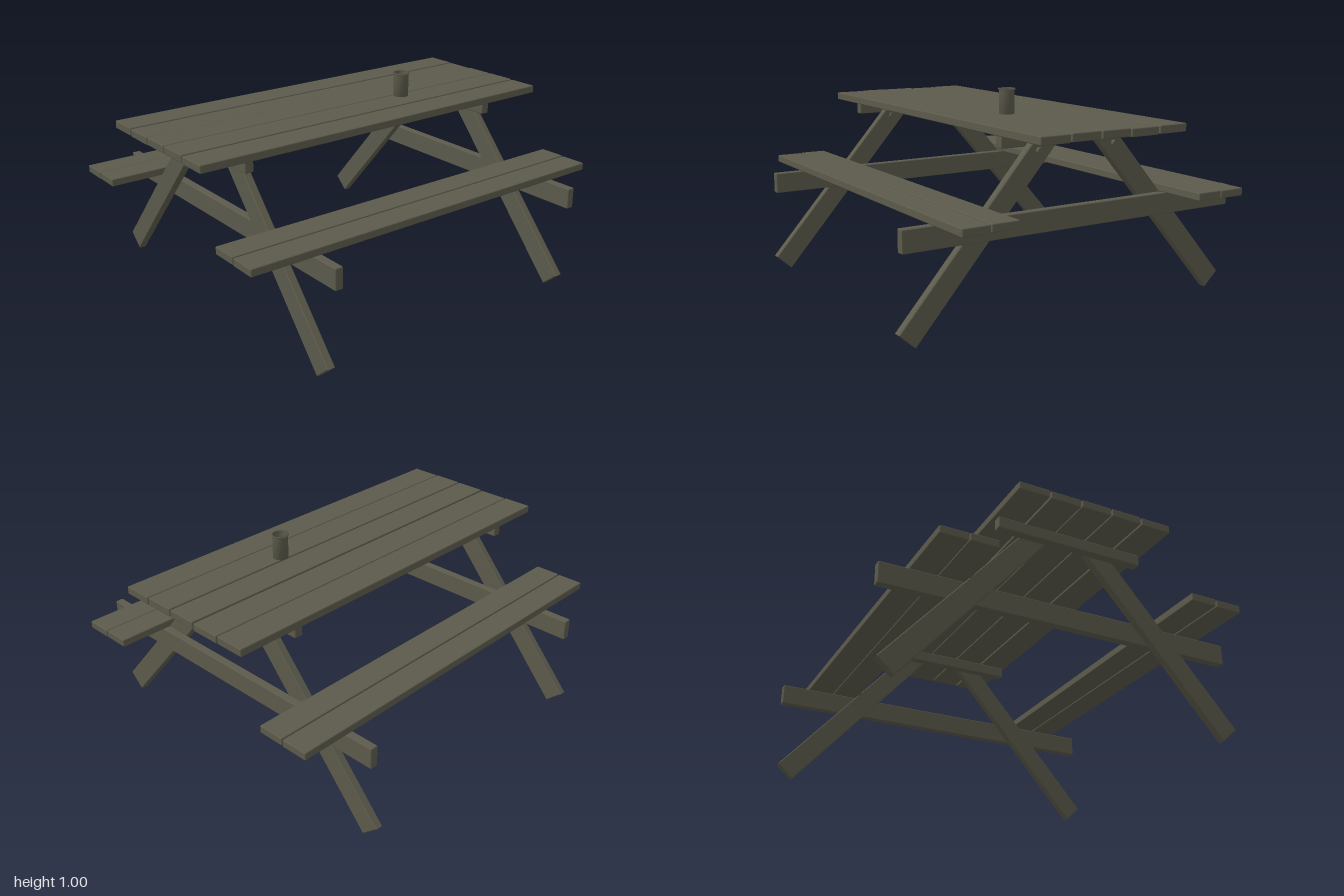
import * as THREE from 'three';
import { RoundedBoxGeometry } from 'three/addons/geometries/RoundedBoxGeometry.js';

const wood = new THREE.MeshStandardMaterial({ color: 0x5b5a4b });
wood.name = 'weathered wood';

function add(parent, name, geometry, x = 0, y = 0, z = 0) {
  const mesh = new THREE.Mesh(geometry, wood);
  mesh.name = name;
  mesh.position.set(x, y, z);
  parent.add(mesh);
  return mesh;
}

// Board with softened edges, given by its min and max on each axis
function board(parent, name, [x0, x1], [y0, y1], [z0, z1]) {
  const geometry = new RoundedBoxGeometry(x1 - x0, y1 - y0, z1 - z0, 2, 0.005);
  return add(parent, name, geometry, (x0 + x1) / 2, (y0 + y1) / 2, (z0 + z1) / 2);
}

// Slanted leg outline in the z-y plane, clipped flat under the table top
function legGeometry(side) {
  const outline = [[0.81, 0], [0.888, 0.07], [0.205, 0.845], [0.14, 0.845], [0.1, 0.808]];
  const shape = new THREE.Shape(outline.map(([z, y]) => new THREE.Vector2(-z * side, y)));
  const geometry = new THREE.ExtrudeGeometry(shape, {
    depth: 0.032, bevelEnabled: true, bevelThickness: 0.004, bevelSize: 0.004,
    bevelOffset: -0.004, bevelSegments: 1,
  });
  geometry.translate(0, 0, -0.016);
  geometry.rotateY(Math.PI / 2);
  return geometry;
}

export function createModel() {
  const model = new THREE.Group();
  model.name = 'picnicTable';

  // Table top: five planks with narrow gaps and slight height differences
  const top = new THREE.Group();
  top.name = 'tableTop';
  model.add(top);
  const lifts = [0, -0.002, 0.001, 0.002, 0];
  lifts.forEach((lift, i) => {
    const z = (i - 2) * 0.156;
    board(top, 'topPlank', [-1, 1], [0.846 + lift, 0.884 + lift], [z - 0.075, z + 0.075]);
  });

  // Benches: two planks on each side
  for (const side of [-1, 1]) {
    const bench = new THREE.Group();
    bench.name = side > 0 ? 'frontBench' : 'backBench';
    model.add(bench);
    for (const [z, lift] of [[0.547, 0.002], [0.683, 0]]) {
      board(bench, 'seatPlank', [-1, 1], [0.521 + lift, 0.558 + lift],
        [side * z - 0.066, side * z + 0.066]);
    }
  }

  // Two trestles; the beam and cleat swap sides so each one is mirrored
  for (const side of [-1, 1]) {
    const trestle = new THREE.Group();
    trestle.name = side > 0 ? 'leftTrestle' : 'rightTrestle';
    trestle.position.x = side > 0 ? 0.705 : -0.71;
    model.add(trestle);
    board(trestle, 'seatBeam', [0.02, 0.06], [0.42, 0.522], [-0.888, 0.888]);
    board(trestle, 'topCleat', [-0.064, -0.02], [0.79, 0.847], [-0.37, 0.37]);
    for (const end of [-1, 1]) {
      add(trestle, end > 0 ? 'frontLeg' : 'backLeg', legGeometry(end));
      const bolt = new THREE.CylinderGeometry(0.014, 0.014, 0.02, 16);
      bolt.rotateZ(Math.PI / 2);
      add(trestle, 'bolt', bolt, 0.027, 0.776, end * 0.205);
    }
  }

  // Hollow cup with a slightly wider rim
  const profile = [
    [0, 0], [0.037, 0], [0.037, 0.112], [0.041, 0.114], [0.041, 0.12],
    [0.034, 0.12], [0.034, 0.01], [0, 0.01],
  ].map(([r, y]) => new THREE.Vector2(r, y));
  const cup = new THREE.LatheGeometry(profile, 28);
  add(model, 'cup', cup, 0.323, 0.885, 0.108);

  return model;
}
